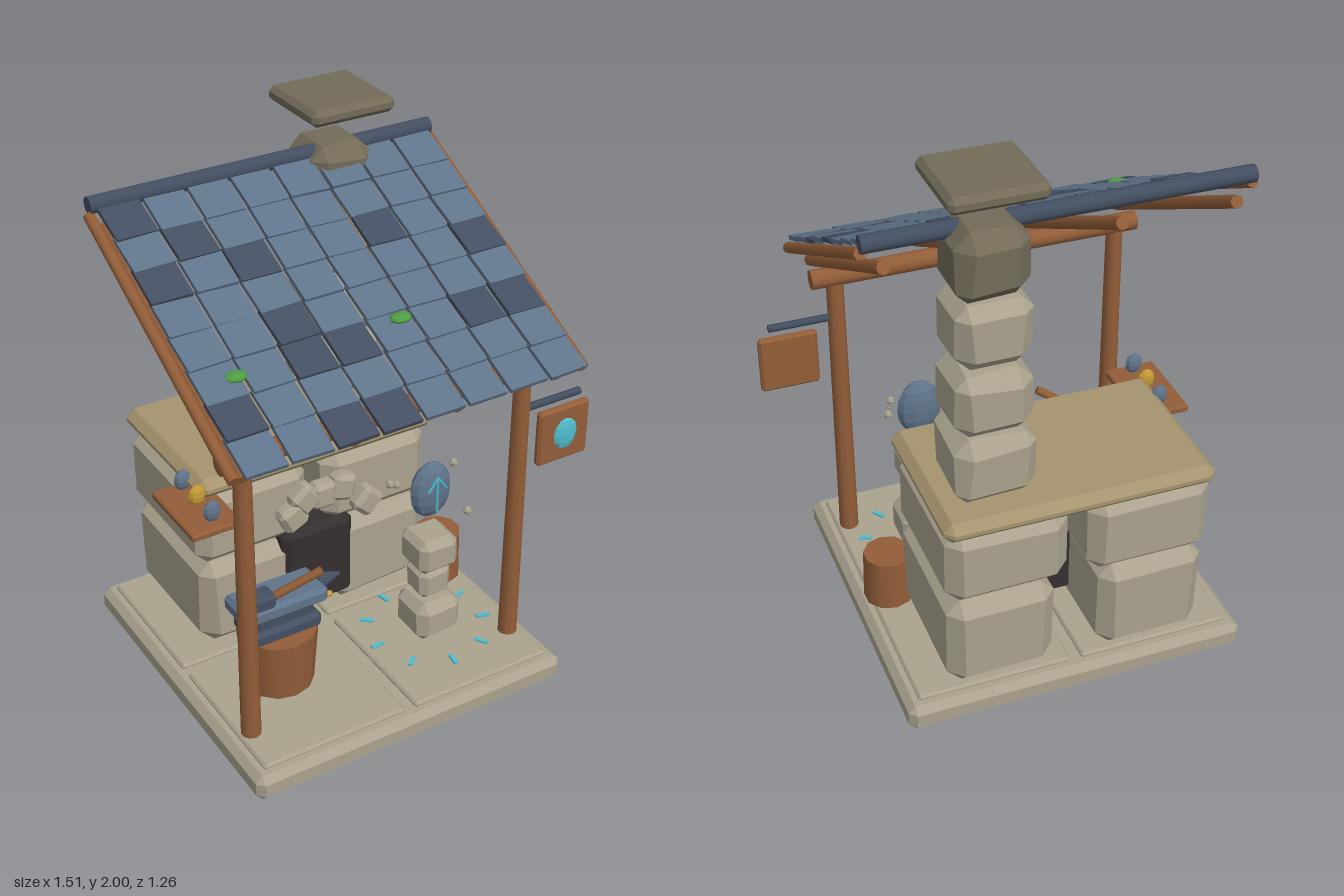
import * as THREE from 'three';
import { ConvexGeometry } from 'three/addons/geometries/ConvexGeometry.js';

const paint = (name, color) => {
  const m = new THREE.MeshStandardMaterial({ color });
  m.name = name;
  return m;
};
const stone = paint('stone', 0xaaa28e);
const sand = paint('sandstone', 0xa5946e);
const dusk = paint('dark stone', 0x736b58);
const wood = paint('wood', 0x925d38);
const slate = paint('slate', 0x5f738a);
const dark = paint('dark slate', 0x434f61);
const cyan = paint('glowing cyan', 0x50bccb);
const moss = paint('moss green', 0x4f9c45);
const gold = paint('gold', 0xc39a35);
const soot = paint('soot', 0x352e2f);

let seed = 7;
const rand = () => ((seed = (seed * 16807) % 2147483647) / 2147483647) - 0.5;

function add(parent, name, geometry, material, x = 0, y = 0, z = 0) {
  const mesh = new THREE.Mesh(geometry, material);
  mesh.name = name;
  mesh.position.set(x, y, z);
  parent.add(mesh);
  return mesh;
}

// Box with all edges and corners cut off by c
function chamfer(w, h, d, c, jitter = 0) {
  const pts = [];
  for (const sx of [-1, 1]) for (const sy of [-1, 1]) for (const sz of [-1, 1]) {
    const j = 1 + rand() * jitter;
    const x = w / 2, y = h / 2, z = d / 2, k = c * j;
    pts.push(
      new THREE.Vector3(sx * x, sy * (y - k), sz * (z - k)),
      new THREE.Vector3(sx * (x - k), sy * y, sz * (z - k)),
      new THREE.Vector3(sx * (x - k), sy * (y - k), sz * z));
  }
  return new ConvexGeometry(pts);
}

// Chamfered block given by its limits on each axis
function block(parent, name, mat, [x0, x1], [y0, y1], [z0, z1], c, jitter = 0) {
  return add(parent, name, chamfer(x1 - x0, y1 - y0, z1 - z0, c, jitter), mat,
    (x0 + x1) / 2, (y0 + y1) / 2, (z0 + z1) / 2);
}

// Round bar between two points
function bar(parent, name, mat, a, b, r0, r1 = r0, sides = 8) {
  const p = new THREE.Vector3(...a), q = new THREE.Vector3(...b);
  const dir = q.clone().sub(p);
  const mesh = add(parent, name, new THREE.CylinderGeometry(r1, r0, dir.length(), sides), mat);
  mesh.position.copy(p).add(q).multiplyScalar(0.5);
  mesh.quaternion.setFromUnitVectors(new THREE.Vector3(0, 1, 0), dir.normalize());
  return mesh;
}

// Faceted ellipsoid
function blob(parent, name, mat, [x, y, z], [rx, ry, rz], w = 8, h = 6) {
  const g = new THREE.SphereGeometry(1, w, h).scale(rx, ry, rz).toNonIndexed();
  g.computeVertexNormals();
  return add(parent, name, g, mat, x, y, z);
}

function group(parent, name) {
  const g = new THREE.Group();
  g.name = name;
  parent.add(g);
  return g;
}

function buildFloor(model) {
  const g = group(model, 'floor');
  block(g, 'baseSlab', stone, [-0.71, 0.55], [0, 0.1], [-0.63, 0.63], 0.025);
  for (const x of [[-0.665, -0.1], [-0.06, 0.505]])
    for (const z of [[-0.585, -0.02], [0.02, 0.585]])
      block(g, 'pavingSlab', stone, x, [0.095, 0.117], z, 0.008);
}

function buildHearth(model) {
  const g = group(model, 'hearth');
  block(g, 'hearthStone', stone, [-0.55, -0.165], [0.115, 0.475], [-0.6, -0.045], 0.05, 0.4);
  block(g, 'hearthStone', stone, [0, 0.39], [0.115, 0.475], [-0.6, -0.045], 0.05, 0.4);
  block(g, 'hearthStone', stone, [-0.56, -0.115], [0.485, 0.785], [-0.61, -0.04], 0.05, 0.4);
  block(g, 'hearthStone', stone, [-0.045, 0.395], [0.485, 0.785], [-0.61, -0.04], 0.05, 0.4);
  block(g, 'counterTop', sand, [-0.56, 0.41], [0.78, 0.855], [-0.635, -0.025], 0.03);
  block(g, 'fireOpening', soot, [-0.23, 0.065], [0.165, 0.515], [-0.3, -0.03], 0.025);
  block(g, 'embers', gold, [-0.125, -0.035], [0.18, 0.208], [-0.1, -0.015], 0.008);
  // Arch of small stones over the opening
  const arch = [[-0.205, 0.61, 0.45], [-0.155, 0.672, 0.7], [-0.08, 0.665, 0],
    [0, 0.672, -0.3], [0.105, 0.575, -0.75]];
  for (const [x, y, turn] of arch)
    add(g, 'archStone', chamfer(0.1, 0.105, 0.07, 0.018), stone, x, y, -0.018).rotation.z = turn;
}

function buildChimney(model) {
  const g = group(model, 'chimney');
  const levels = [[0.855, 1.09, 0.28], [1.1, 1.335, 0.272], [1.35, 1.59, 0.26], [1.6, 1.835, 0.248]];
  levels.forEach(([y0, y1, w], i) => {
    const h = w / 2;
    block(g, 'chimneyStone', i === 3 ? dusk : stone,
      [0.195 - h, 0.195 + h], [y0, y1], [-0.41 - h, -0.41 + h], 0.045, 0.5);
  });
  block(g, 'chimneyCap', dusk, [0.035, 0.36], [1.943, 2], [-0.57, -0.245], 0.018);
}

function buildFrame(model) {
  const g = group(model, 'frame');
  for (const x of [-0.62, 0.458]) bar(g, 'post', wood, [x, 0.11, 0.41], [x, 1.25, 0.41], 0.036, 0.031, 10);
  bar(g, 'frontBeam', wood, [-0.7, 1.233, 0.41], [0.545, 1.233, 0.41], 0.037, 0.037, 10);
}

function buildRoof(model) {
  // Local z runs down the slope, local y points out of the roof
  const g = group(model, 'roof');
  g.position.y = 1.6;
  g.rotation.x = 0.474;
  for (const x of [-0.675, -0.275, 0.115, 0.51])
    bar(g, 'rafter', wood, [x, -0.075, -0.4], [x, -0.075, 0.635], 0.023);
  for (const x of [-0.735, 0.575])
    bar(g, 'edgePole', wood, [x, -0.02, -0.41], [x, -0.02, 0.66], 0.021);
  const darkTiles = ['00', '11', '20', '22', '25', '37', '42', '52', '53', '56', '57', '60', '72', '73'];
  for (let row = 0; row < 8; row++) for (let col = 0; col < 8; col++) {
    const mat = darkTiles.includes(`${row}${col}`) ? dark : slate;
    const tile = add(g, 'roofTile', new THREE.BoxGeometry(0.146, 0.016, 0.153), mat,
      -0.637 + col * 0.161, 0.009 + rand() * 0.006, -0.335 + row * 0.134);
    tile.rotation.set(-0.06, rand() * 0.05, rand() * 0.05);
  }
  bar(model, 'ridgePole', dark, [-0.735, 1.803, -0.38], [0.58, 1.803, -0.38], 0.031, 0.031, 8);
  blob(model, 'mossPatch', moss, [-0.575, 1.46, 0.305], [0.04, 0.016, 0.032]);
  blob(model, 'mossPatch', moss, [0.035, 1.49, 0.295], [0.04, 0.016, 0.032]);
  blob(model, 'mossPatch', moss, [-0.085, 1.435, 0.145], [0.03, 0.014, 0.03]);
}

function buildAnvil(model) {
  const g = group(model, 'anvilStand');
  add(g, 'stump', new THREE.CylinderGeometry(0.145, 0.128, 0.235, 12), wood, -0.395, 0.23, 0.2);
  block(g, 'anvilFoot', dark, [-0.53, -0.26], [0.345, 0.405], [0.12, 0.29], 0.015);
  block(g, 'anvilWaist', dark, [-0.51, -0.28], [0.39, 0.45], [0.14, 0.27], 0.012);
  block(g, 'anvilTop', slate, [-0.565, -0.23], [0.438, 0.5], [0.125, 0.285], 0.015);
  bar(g, 'anvilHorn', dark, [-0.24, 0.472, 0.205], [-0.145, 0.477, 0.205], 0.04, 0.008);
  block(g, 'hammerHead', dark, [-0.535, -0.44], [0.495, 0.555], [0.21, 0.29], 0.012);
  bar(g, 'hammerHandle', wood, [-0.46, 0.518, 0.255], [-0.285, 0.62, 0.325], 0.016);
}

function buildRuneStone(model) {
  const g = group(model, 'runePillar');
  block(g, 'pillarStone', stone, [0.125, 0.31], [0.125, 0.278], [0.15, 0.335], 0.03, 0.4);
  block(g, 'pillarStone', stone, [0.15, 0.28], [0.29, 0.412], [0.175, 0.3], 0.025, 0.4);
  block(g, 'pillarStone', stone, [0.135, 0.3], [0.41, 0.545], [0.155, 0.32], 0.03, 0.4);
  blob(g, 'floatingStone', slate, [0.215, 0.725, 0.235], [0.084, 0.112, 0.042], 10, 8);
  // Glowing arrow mark
  bar(g, 'markStem', cyan, [0.215, 0.655, 0.279], [0.215, 0.795, 0.279], 0.005, 0.005, 6);
  for (const s of [-1, 1])
    bar(g, 'markBarb', cyan, [0.215, 0.795, 0.279], [0.215 + s * 0.036, 0.745, 0.279], 0.005, 0.005, 6);
  for (const p of [[0.08, 0.76, 0.18], [0.35, 0.76, 0.18], [0.285, 0.685, 0.365], [0.16, 0.685, 0.1]])
    blob(g, 'pebble', stone, p, [0.016, 0.016, 0.016], 6, 4);
  // Ring of glowing dashes on the floor
  for (let i = 0; i < 9; i++) {
    const a = (i / 9) * Math.PI * 2 + 0.3;
    add(g, 'floorDash', new THREE.BoxGeometry(0.05, 0.008, 0.016), cyan,
      0.215 + Math.cos(a) * 0.22, 0.12, 0.235 + Math.sin(a) * 0.22).rotation.y = -a;
  }
}

function buildShelfAndBarrel(model) {
  add(model, 'barrel', new THREE.CylinderGeometry(0.088, 0.092, 0.195, 10), wood, 0.435, 0.213, -0.028);
  const g = group(model, 'shelf');
  block(g, 'shelfBoard', wood, [-0.67, -0.48], [0.757, 0.784], [-0.18, 0.135], 0.006);
  [slate, gold, slate].forEach((mat, i) =>
    blob(g, 'shelfItem', mat, [-0.57, 0.825, 0.085 - i * 0.11], [0.033, 0.04, 0.02]));
}

function buildSign(model) {
  const g = group(model, 'hangingSign');
  bar(g, 'signBracket', dark, [0.47, 1.067, 0.41], [0.71, 1.067, 0.41], 0.014, 0.014, 6);
  block(g, 'signBoard', wood, [0.535, 0.752], [0.81, 1.028], [0.395, 0.427], 0.01);
  blob(g, 'signGem', cyan, [0.645, 0.922, 0.43], [0.05, 0.062, 0.014], 8, 6);
}

export function createModel() {
  const model = new THREE.Group();
  model.name = 'openSmithy';
  for (const build of [buildFloor, buildHearth, buildChimney, buildFrame, buildRoof,
    buildAnvil, buildRuneStone, buildShelfAndBarrel, buildSign]) build(model);
  return model;
}
